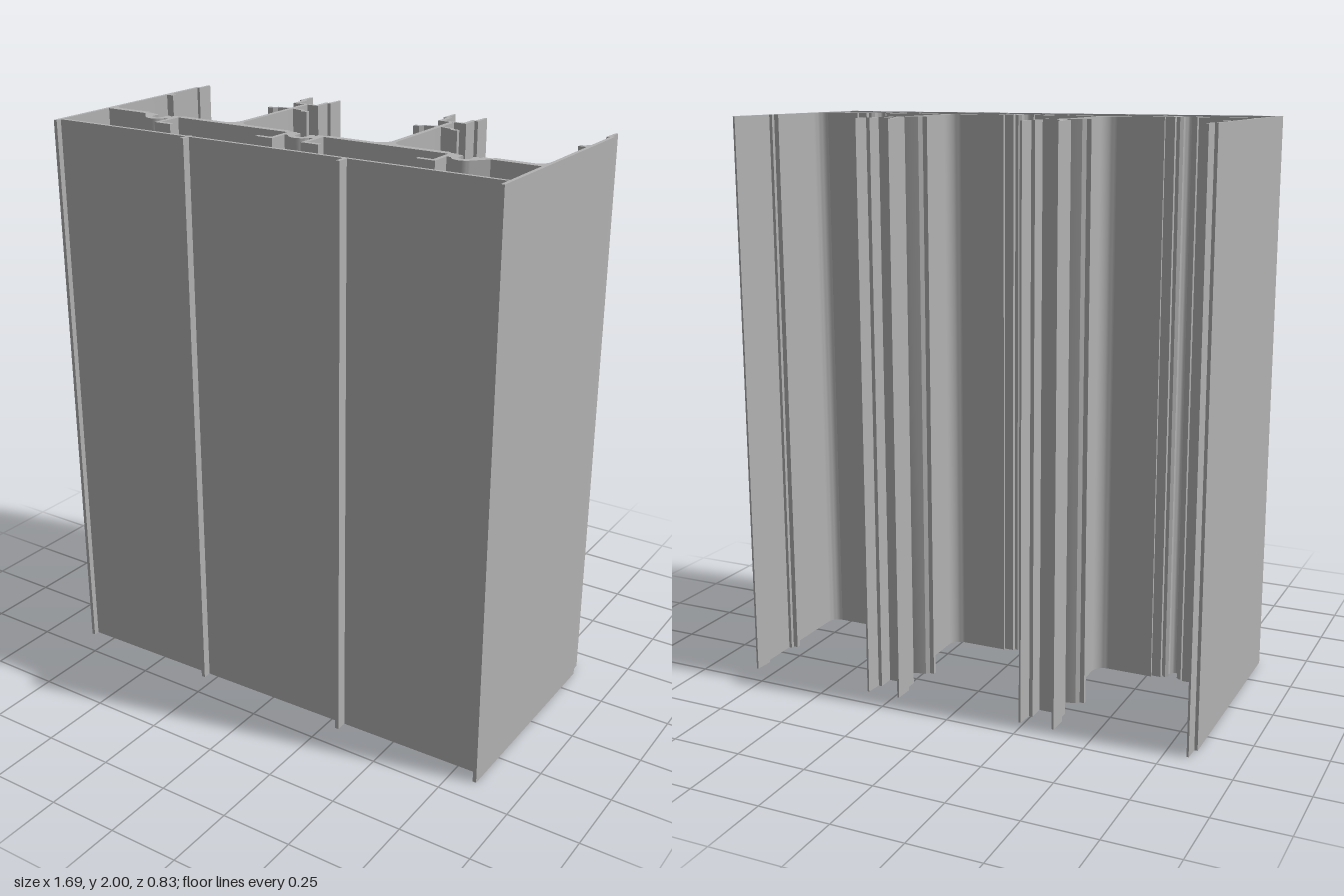
import * as THREE from 'three';
import { toCreasedNormals } from 'three/addons/utils/BufferGeometryUtils.js';

const HEIGHT = 2;
const STEM_X = 0.295, PORT_X = 0.59;
const WALL_IN = 0.83, WALL_OUT = 0.843;
const WEB_BACK = 0.125, WEB_FRONT = 0.15;

// Points of an arc in plan (u, z), angles in degrees, +90 points to the front
function arc(cx, cz, r, from, to, n = 8) {
  return Array.from({ length: n + 1 }, (_, i) => {
    const a = THREE.MathUtils.degToRad(from + (to - from) * i / n);
    return [cx + r * Math.cos(a), cz + r * Math.sin(a)];
  });
}

const rect = (x0, x1, z0, z1) => [[x0, z0], [x1, z0], [x1, z1], [x0, z1]];

export function createModel() {
  const model = new THREE.Group();
  const aluminium = new THREE.MeshStandardMaterial({ color: 0xb2b2b2 });
  aluminium.name = 'aluminium grey';

  // Extrudes a plan outline upwards; cx shifts it, s = -1 mirrors it
  function extrude(name, points, cx = 0, s = 1) {
    const shape = new THREE.Shape(points.map(([u, z]) => new THREE.Vector2(cx + s * u, -z)));
    const geometry = new THREE.ExtrudeGeometry(shape, { depth: HEIGHT, bevelEnabled: false });
    geometry.rotateX(-Math.PI / 2);
    const mesh = new THREE.Mesh(toCreasedNormals(geometry, 0.5), aluminium);
    mesh.name = name;
    model.add(mesh);
  }

  // Half of a screw port: stepped web edge, curled lip and ring
  const portInner = [
    [0.074, WEB_BACK], [0.074, 0.135], [0.041, 0.135], [0.041, 0.152], [0.036, 0.152],
    [0.033, 0.143], [0.026, 0.143], [0.016, 0.152], [0.021, 0.162],
    ...arc(0, 0.17, 0.021, 0, 90),
  ];
  const portWithHook = [
    ...portInner, ...arc(0, 0.17, 0.043, 90, 22),
    [0.055, 0.186], [0.055, 0.256], [0.121, 0.256], [0.121, 0.239],
    [0.07, 0.239], [0.07, WEB_FRONT], [0.074, WEB_FRONT],
  ];
  const portWithSlope = [...portInner, ...arc(0, 0.17, 0.043, 90, 38), [0.074, WEB_FRONT]];

  // Stem with fillets into the web
  const stem = [
    [-0.0085, -0.285], [0.0085, -0.285],
    ...arc(0.0535, 0.08, 0.045, 180, 90),
    [0.0535, 0.13], [-0.0535, 0.13],
    ...arc(-0.0535, 0.08, 0.045, 90, 0),
  ];

  // Glazing channel at the end of a stem
  const channelHalf = [
    [0, -0.286], [0.053, -0.286], [0.053, -0.345], [0.066, -0.345], [0.066, -0.36],
    [0.064, -0.415], [0.057, -0.415], [0.051, -0.357], [0.038, -0.357], [0.038, -0.298], [0, -0.298],
  ];
  const mirrored = channelHalf.slice(1, -1).reverse().map(([u, z]) => [-u, z]);
  const channel = [...channelHalf, ...mirrored];

  // Drooping gasket wing on a stem
  const wing = [
    [0, -0.208], [0.0085, -0.208], [0.055, -0.197], [0.066, -0.185], [0.082, -0.185], [0.082, -0.17],
    [0.06, -0.17], [0.049, -0.185], [0.0085, -0.195], [0, -0.195],
  ];

  for (const s of [-1, 1]) {
    const side = s > 0 ? 'left' : 'right';

    // Outer wall with its offset lip, small hook and web fillet
    extrude(side + 'Wall', [
      [WALL_OUT, 0.412], [WALL_OUT, -0.36], [0.832, -0.36], [0.83, -0.415], [0.823, -0.415],
      [0.819, -0.36], [0.819, -0.345], [WALL_IN, -0.345],
      [WALL_IN, -0.199], [0.819, -0.199], [0.819, -0.185], [0.802, -0.185], [0.802, -0.167],
      [WALL_IN, -0.167],
      ...arc(0.79, 0.085, 0.04, 0, 90),
      [0.79, WEB_FRONT], [WALL_IN, WEB_FRONT], [WALL_IN, 0.412],
    ], 0, s);

    // Cross web on either side of the outer port
    extrude(side + 'OuterWeb', rect(PORT_X + 0.074, 0.79, WEB_BACK, WEB_FRONT), 0, s);
    extrude(side + 'InnerWeb', rect(0.074, PORT_X - 0.074, WEB_BACK, WEB_FRONT), 0, s);

    // Screw ports: hooked halves face inwards, sloped halves face the walls
    extrude('centrePort', portWithHook, 0, s);
    extrude(side + 'PortInner', portWithHook, s * PORT_X, -s);
    extrude(side + 'PortOuter', portWithSlope, s * PORT_X, s);

    // Track stem, channel and wings
    extrude(side + 'Stem', stem, s * STEM_X);
    extrude(side + 'Channel', channel, s * STEM_X);
    for (const w of [-1, 1]) extrude(side + 'Wing', wing, s * STEM_X, w);

    // Rib on the front panel
    extrude(side + 'FrontRib', rect(-0.007, 0.007, 0.365, 0.412), s * STEM_X);
  }

  // Slightly sloping front panel
  extrude('frontPanel', [
    [-WALL_IN, 0.379], [WALL_IN, 0.353], [WALL_IN, 0.365], [-WALL_IN, 0.392],
  ]);

  return model;
}
